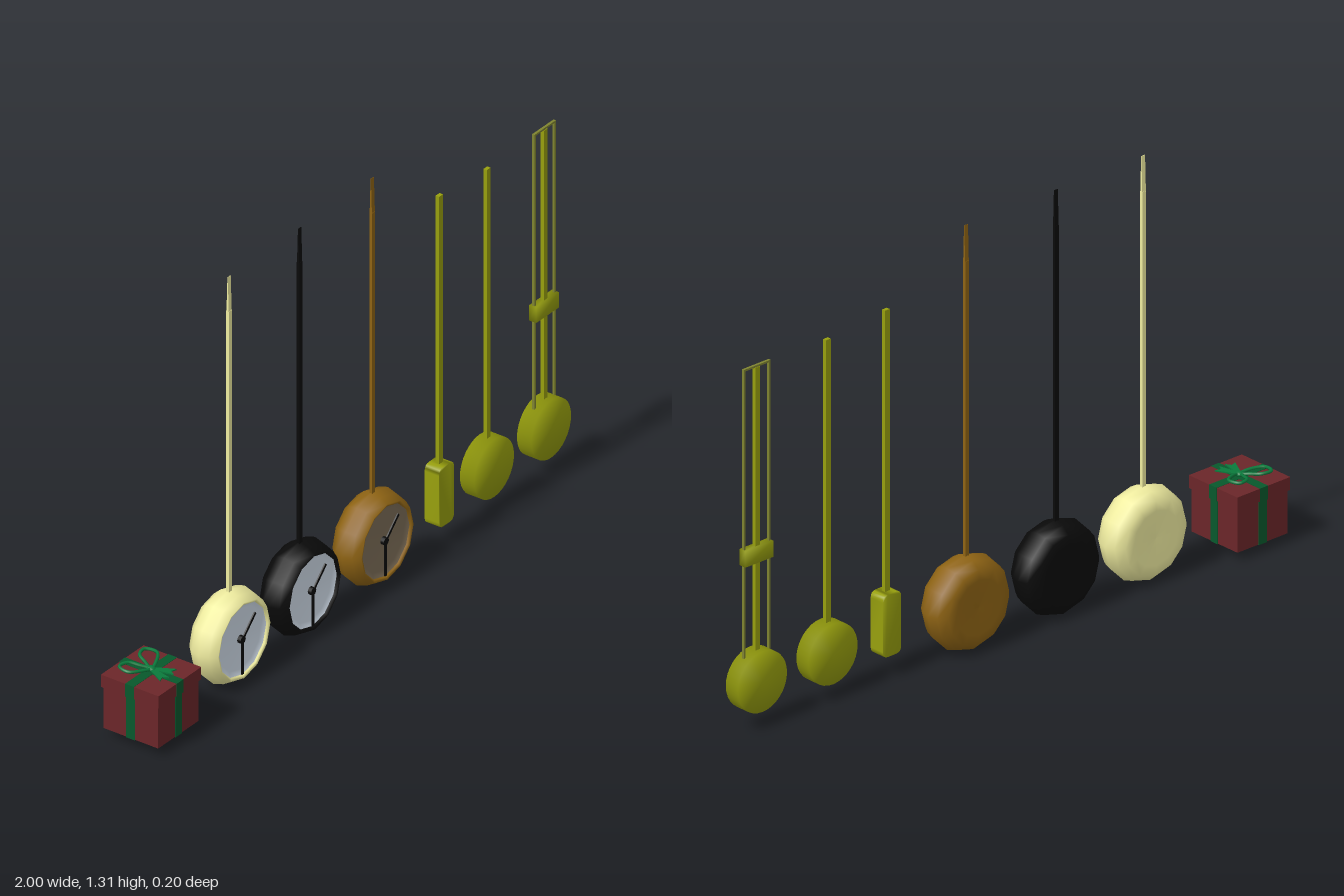
import * as THREE from 'three';
import { mergeVertices } from 'three/addons/utils/BufferGeometryUtils.js';

const mat = (color, side = THREE.FrontSide) => new THREE.MeshStandardMaterial({ color, side });

function add(parent, name, geometry, material, x = 0, y = 0, z = 0) {
  const mesh = new THREE.Mesh(geometry, material);
  mesh.name = name;
  mesh.position.set(x, y, z);
  parent.add(mesh);
  return mesh;
}

function group(parent, name, x = 0, y = 0, z = 0) {
  const g = new THREE.Group();
  g.name = name;
  g.position.set(x, y, z);
  parent.add(g);
  return g;
}

const box = (w, h, d) => new THREE.BoxGeometry(w, h, d);

// Share corners so the shading runs softly over the edges
function soften(geometry) {
  geometry.deleteAttribute('normal');
  geometry.deleteAttribute('uv');
  const merged = mergeVertices(geometry, 1e-4);
  merged.computeVertexNormals();
  return merged;
}

// Profile of [radius, z] pairs turned about the z axis
function turned(profile, sides) {
  const points = profile.map(([r, z]) => new THREE.Vector2(r, z));
  return new THREE.LatheGeometry(points, sides).rotateX(Math.PI / 2);
}

// Wrapped box with lid, ribbons and bow
function addGift(root) {
  const red = mat(0x6b2629), green = mat(0x07582c), bowGreen = mat(0x0a7a3c, THREE.DoubleSide);
  const gift = group(root, 'gift', -0.9, 0, 0);
  add(gift, 'giftBox', box(0.19, 0.137, 0.19), red, 0, 0.1, 0);
  add(gift, 'giftLid', box(0.2, 0.04, 0.2), red, 0, 0.185, 0);
  add(gift, 'boxRibbonFront', box(0.03, 0.139, 0.193), green, 0, 0.0995, 0);
  add(gift, 'boxRibbonSide', box(0.193, 0.139, 0.03), green, 0, 0.0995, 0);
  add(gift, 'lidRibbonFront', box(0.03, 0.042, 0.202), green, 0, 0.185, 0);
  add(gift, 'lidRibbonSide', box(0.202, 0.042, 0.03), green, 0, 0.185, 0);

  const bow = group(gift, 'bow', 0, 0.212, 0);
  add(bow, 'bowKnot', new THREE.SphereGeometry(0.014, 10, 6).scale(1, 0.6, 1), bowGreen);
  for (const s of [-1, 1]) {
    const loop = new THREE.CatmullRomCurve3([
      [0, 0, 0], [0.03, 0.006, -0.005], [0.068, 0.011, -0.03],
      [0.06, 0.013, -0.066], [0.027, 0.012, -0.06], [0.012, 0.006, -0.03],
    ].map(([x, y, z]) => new THREE.Vector3(s * x, y, z)), true);
    add(bow, 'bowLoop', new THREE.TubeGeometry(loop, 32, 0.005, 6, true), bowGreen);

    const tail = new THREE.Shape([
      [-0.006, 0], [0.006, 0], [0.015, -0.07], [0, -0.058], [-0.015, -0.07],
    ].map(([x, y]) => new THREE.Vector2(x, y)));
    const tailGeo = new THREE.ExtrudeGeometry(tail, { depth: 0.004, bevelEnabled: false })
      .rotateX(-Math.PI / 2).rotateY(s * 0.36);
    add(bow, 'bowTail', tailGeo, bowGreen, 0, -0.002, 0);
  }
}

// Round clock hanging from a tapered rod
function addClock(root, x, color, faceColor) {
  const body = mat(color), face = mat(faceColor), black = mat(0x080808);
  const clock = group(root, 'hangingClock', x, 0.148, 0);
  add(clock, 'clockCase', turned([
    [0, -0.053], [0.085, -0.055], [0.115, -0.053], [0.136, -0.03], [0.145, 0],
    [0.136, 0.03], [0.122, 0.053], [0.114, 0.05], [0.11, 0.036],
  ], 12), body);
  add(clock, 'clockFace', turned([[0.116, 0.047], [0.098, 0.038], [0, 0.035]], 12), face);

  add(clock, 'hub', new THREE.CylinderGeometry(0.012, 0.012, 0.012, 12).rotateX(Math.PI / 2), black, 0, 0, 0.043);
  for (const [name, length, angle] of [['hourHand', 0.085, -Math.PI / 4], ['minuteHand', 0.112, Math.PI]]) {
    const hand = box(0.009, length, 0.004).translate(0, length / 2, 0).rotateZ(angle);
    add(clock, name, hand, black, 0, 0, 0.046);
  }

  add(clock, 'rod', box(0.014, 0.92, 0.01), body, 0, 0.592, 0);
  // Tip thins out front to back
  const tip = box(0.014, 0.11, 0.008);
  const p = tip.attributes.position;
  for (let i = 0; i < p.count; i++) if (p.getY(i) > 0) p.setZ(i, p.getZ(i) * 0.15);
  tip.computeVertexNormals();
  add(clock, 'rodTip', tip, body, 0, 1.107, 0);
}

// Bar-shaped or disc-shaped pendulum bob
function barGeometry() {
  const w = 0.035, h = 0.096, c = 0.02;
  const s = new THREE.Shape();
  s.moveTo(-w, c - h);
  s.quadraticCurveTo(-w, -h, c - w, -h);
  s.lineTo(w - c, -h);
  s.quadraticCurveTo(w, -h, w, c - h);
  s.lineTo(w, h - c);
  s.quadraticCurveTo(w, h, w - c, h);
  s.lineTo(c - w, h);
  s.quadraticCurveTo(-w, h, -w, h - c);
  return soften(new THREE.ExtrudeGeometry(s, { depth: 0.05, bevelEnabled: false, curveSegments: 4 })
    .translate(0, 0, -0.025));
}

const discGeometry = () =>
  soften(new THREE.CylinderGeometry(0.093, 0.093, 0.05, 32).rotateX(Math.PI / 2));

function addPendulum(root, name, x, bob, bobY, rodTop) {
  const olive = mat(0x98a00e);
  const pendulum = group(root, name, x, 0, 0.025);
  add(pendulum, 'bob', bob, olive, 0, bobY, 0);
  add(pendulum, 'rod', box(0.018, rodTop - 0.225, 0.012), olive, 0, (rodTop + 0.225) / 2, 0);
  return pendulum;
}

export function createModel() {
  const root = new THREE.Group();
  root.name = 'clockParts';

  addGift(root);
  addClock(root, -0.535, 0xf0eda0, 0xd3dfec);
  addClock(root, -0.205, 0x0a0a0a, 0xd3dfec);
  addClock(root, 0.135, 0x8f6414, 0x7d6e58);

  addPendulum(root, 'barPendulum', 0.415, barGeometry(), 0.167, 1.13);
  addPendulum(root, 'discPendulum', 0.638, discGeometry(), 0.146, 1.11);

  // Framed pendulum with side wires and a crosspiece
  const framed = addPendulum(root, 'framedPendulum', 0.905, discGeometry(), 0.146, 1.11);
  const olive = mat(0x98a00e), dark = mat(0x7f8430);
  for (const s of [-1, 1]) add(framed, 'sideWire', box(0.006, 0.9, 0.008), dark, s * 0.047, 0.665, 0);
  add(framed, 'topWire', box(0.1, 0.006, 0.008), dark, 0, 1.113, 0);
  add(framed, 'crosspiece', soften(box(0.106, 0.05, 0.024)), olive, 0, 0.535, 0);
  return root;
}
